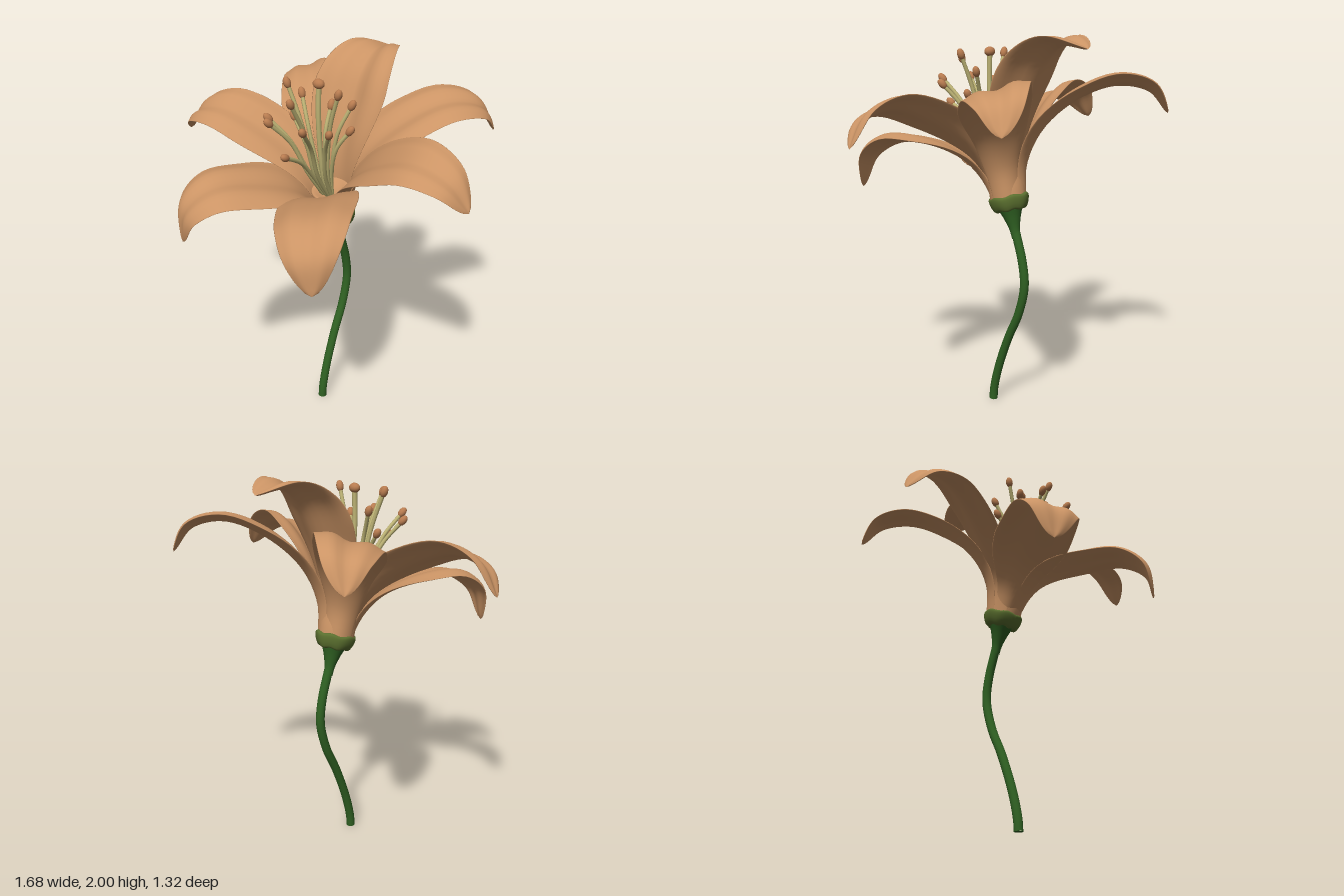
import * as THREE from 'three';

const mat = (name, color) => {
  const m = new THREE.MeshStandardMaterial({ color });
  m.name = name;
  return m;
};
const vec = (p) => new THREE.Vector3(...p);

export function createModel() {
  const petalMat = mat('petal peach', 0xcb9465);
  const antherMat = mat('anther brown', 0xb87c50);
  const filamentMat = mat('filament straw', 0xbfb576);
  const stemMat = mat('stem green', 0x2f6022);
  const calyxMat = mat('calyx olive', 0x5b702f);

  const model = new THREE.Group();
  model.name = 'flower';
  const add = (parent, name, geometry, material) => {
    const mesh = new THREE.Mesh(geometry, material);
    mesh.name = name;
    parent.add(mesh);
    return mesh;
  };

  // Petal: a thin lens section swept along its midrib, cupped at the base and grooved along the middle
  function petalGeometry(points, side, { width, cup, belly, groove }) {
    const curve = new THREE.CatmullRomCurve3(points.map(vec));
    const rows = 36, ring = 36, pos = [], index = [];
    for (let i = 0; i <= rows; i++) {
      const u = Math.sin((i / rows) * Math.PI / 2) * 0.5 + (i / rows) * 0.5;
      const c = curve.getPoint(u), t = curve.getTangent(u);
      const s = vec(side).addScaledVector(t, -vec(side).dot(t)).normalize();
      const n = t.clone().cross(s);
      const taper = Math.pow(Math.max(0, 1 - Math.pow(u, 3.4)), 0.68);
      const w = (0.068 + (width - 0.068) * THREE.MathUtils.smoothstep(u, 0.05, belly)) * taper + 0.002;
      const bend = THREE.MathUtils.lerp(0.45, cup, THREE.MathUtils.smoothstep(u, 0, 0.6));
      const lobe = groove * THREE.MathUtils.smoothstep(u, 0.15, 0.6) * taper;
      for (let j = 0; j < ring; j++) {
        const a = (j / ring) * Math.PI * 2, v = Math.cos(a);
        // The groove is shallower on the underside
        const h = w * bend * v * v + lobe * (j < ring / 2 ? 1 : 0.5) * Math.sin(Math.PI * v) ** 2
          + 0.012 * Math.sin(a) * Math.sqrt(taper);
        const p = c.clone().addScaledVector(s, w * v).addScaledVector(n, h);
        pos.push(p.x, p.y, p.z);
        if (i < rows) {
          const k = (j + 1) % ring, r0 = i * ring, r1 = r0 + ring;
          index.push(r0 + j, r0 + k, r1 + k, r0 + j, r1 + k, r1 + j);
        }
      }
    }
    const g = new THREE.BufferGeometry();
    g.setAttribute('position', new THREE.Float32BufferAttribute(pos, 3));
    g.setIndex(index);
    g.computeVertexNormals();
    return g;
  }

  const petals = [
    {
      name: 'frontPetal', side: [0.86, 0.2, -0.52],
      shape: { width: 0.205, cup: -0.06, belly: 0.48, groove: 0.02 },
      points: [[0.04, 1.15, -0.05], [0.055, 1.28, 0.04], [0.1, 1.375, 0.14], [0.19, 1.44, 0.31],
        [0.3, 1.45, 0.49], [0.37, 1.36, 0.595], [0.40, 1.19, 0.615]],
    },
    {
      name: 'sidePetal', side: [0, 0.42, -0.9],
      shape: { width: 0.175, cup: 0.08, belly: 0.58, groove: 0.02 },
      points: [[0.08, 1.17, -0.09], [0.1, 1.33, -0.06], [0.2, 1.47, -0.03], [0.38, 1.6, 0.03],
        [0.58, 1.67, 0.08], [0.74, 1.63, 0.09], [0.84, 1.51, 0.07]],
    },
    {
      name: 'backSidePetal', side: [-0.73, 0.28, -0.68],
      shape: { width: 0.188, cup: 0.05, belly: 0.52, groove: 0.022 },
      points: [[0.06, 1.17, -0.15], [0.085, 1.35, -0.13], [0.15, 1.53, -0.18], [0.28, 1.68, -0.29],
        [0.42, 1.765, -0.44], [0.53, 1.735, -0.57], [0.59, 1.61, -0.64]],
    },
  ];
  for (const p of petals) {
    add(model, p.name + 'Left', petalGeometry(p.points, p.side, p.shape), petalMat);
    const mirrored = p.points.map(([x, y, z]) => [-x, y, z]);
    const side = [p.side[0], -p.side[1], -p.side[2]];
    add(model, p.name + 'Right', petalGeometry(mirrored, side, p.shape), petalMat);
  }
  add(model, 'backPetal', petalGeometry([[0, 1.17, -0.16], [0, 1.38, -0.145], [0, 1.56, -0.17],
    [0, 1.74, -0.24], [0, 1.88, -0.32], [0, 1.955, -0.43], [0, 1.94, -0.59]],
  [-1, 0, 0], { width: 0.235, cup: 0.3, belly: 0.6, groove: 0.035 }), petalMat);

  // Stem
  const stemPath = new THREE.CatmullRomCurve3([[0, 0, 0.015], [0, 0.06, 0.01], [0, 0.2, -0.025], [0, 0.4, -0.1],
    [0, 0.56, -0.175], [0, 0.72, -0.215], [0, 0.85, -0.2], [0, 1.0, -0.152], [0, 1.1, -0.12]].map(vec));
  add(model, 'stem', new THREE.TubeGeometry(stemPath, 60, 0.023, 16), stemMat);
  const cap = add(model, 'stemEnd', new THREE.CircleGeometry(0.023, 16), stemMat);
  cap.position.set(0, 0.001, 0.015);
  cap.rotation.x = Math.PI / 2;

  // Flower base, leaning forward: flare, calyx and throat
  const base = new THREE.Group();
  base.name = 'flowerBase';
  base.position.set(0, 1.1, -0.12);
  base.rotation.x = 0.28;
  model.add(base);
  const lathe = (pts) => new THREE.LatheGeometry(
    new THREE.SplineCurve(pts.map(([x, y]) => new THREE.Vector2(x, y))).getPoints(24), 40);
  add(base, 'stemFlare', lathe([[0.023, -0.13], [0.028, -0.08], [0.045, -0.02], [0.065, 0.03]]), stemMat);

  // Calyx with a gently waved rim
  const calyx = lathe([[0.035, 0.02], [0.075, 0.018], [0.092, 0.036], [0.103, 0.066], [0.103, 0.088], [0.085, 0.096]]);
  const cp = calyx.attributes.position;
  for (let i = 0; i < cp.count; i++) {
    const a = Math.atan2(cp.getZ(i), cp.getX(i));
    cp.setY(i, cp.getY(i) + 0.004 * Math.cos(6 * a));
  }
  calyx.computeVertexNormals();
  add(base, 'calyx', calyx, calyxMat);

  // Throat tube, closed by a hollow floor where the stamens root
  add(base, 'throat', lathe([[0.088, 0.05], [0.094, 0.12], [0.095, 0.19], [0.098, 0.24],
    [0.085, 0.245], [0.05, 0.23], [0, 0.22]]), petalMat);

  // Stamens: curved filaments with oval anthers
  const stamens = new THREE.Group();
  stamens.name = 'stamens';
  model.add(stamens);
  function stamen(name, [x, y, z], radius, tip) {
    const curve = new THREE.CatmullRomCurve3([
      vec([x * 0.15, 1.28, -0.04]), vec([x * 0.3, 1.46, z * 0.3]),
      vec([x * 0.6, 1.46 + (y - 1.46) * 0.6, 0.02 + z * 0.55]), vec([x, y, z])]);
    add(stamens, name + 'Filament', new THREE.TubeGeometry(curve, 20, radius, 8), filamentMat);
    const anther = add(stamens, name + 'Tip', new THREE.SphereGeometry(1, 14, 10), antherMat);
    anther.position.set(x, y, z);
    anther.scale.set(...tip);
    anther.quaternion.setFromUnitVectors(new THREE.Vector3(0, 1, 0), curve.getTangent(1));
  }
  stamen('pistil', [0, 1.91, 0.04], 0.013, [0.031, 0.024, 0.024]);
  const oval = [0.019, 0.029, 0.019];
  for (const p of [[0, 1.87, 0.25], [0.02, 1.64, 0.32], [0, 1.78, -0.06]]) stamen('middleStamen', p, 0.01, oval);
  const sidePairs = [[0.15, 1.9, 0.09], [0.15, 1.82, -0.02], [0.1, 1.77, 0.29], [0.18, 1.75, 0.2], [0.17, 1.71, 0.02]];
  for (const [x, y, z] of sidePairs)
    for (const m of [1, -1]) stamen('sideStamen', [x * m, y, z], 0.01, oval);

  return model;
}
